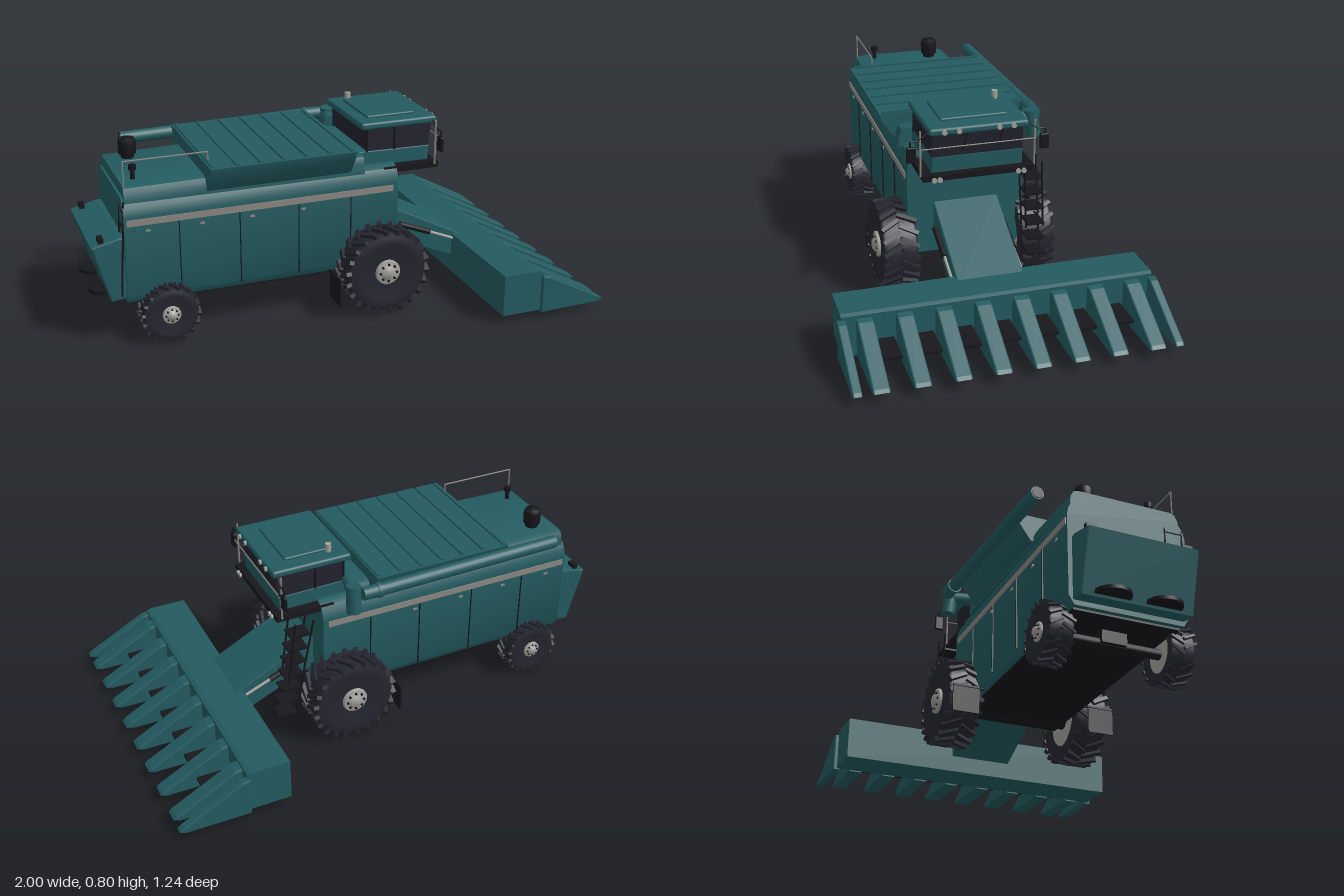
import * as THREE from 'three';
import { mergeGeometries, toCreasedNormals } from 'three/addons/utils/BufferGeometryUtils.js';
import { RoundedBoxGeometry } from 'three/addons/geometries/RoundedBoxGeometry.js';

const mat = (name, color) => Object.assign(new THREE.MeshStandardMaterial({ color }), { name });

export function createModel() {
  const teal = mat('teal paint', 0x235b60);
  const rubber = mat('tyre rubber', 0x252530);
  const black = mat('black trim', 0x17171c);
  const glass = mat('dark glass', 0x22232f);
  const grey = mat('stripe grey', 0x8b8782);
  const metal = mat('metal', 0xa3a19c);
  const root = new THREE.Group();
  root.name = 'harvester';

  // ---- helpers ----
  const add = (name, geo, m, parent = root) => {
    const mesh = new THREE.Mesh(geo, m);
    mesh.name = name;
    parent.add(mesh);
    return mesh;
  };
  // box from min and max corners, optionally rounded
  const box = (name, m, x0, x1, y0, y1, z0, z1, r = 0) => {
    const s = [x1 - x0, y1 - y0, z1 - z0];
    const g = r ? new RoundedBoxGeometry(...s, 2, r) : new THREE.BoxGeometry(...s);
    return add(name, g.translate((x0 + x1) / 2, (y0 + y1) / 2, (z0 + z1) / 2), m);
  };
  const rod = (name, m, a, b, r, sides = 8, r2 = r) => {
    const A = new THREE.Vector3(...a), B = new THREE.Vector3(...b), d = B.clone().sub(A);
    const mesh = add(name, new THREE.CylinderGeometry(r2, r, d.length(), sides), m);
    mesh.position.copy(A).add(B).multiplyScalar(0.5);
    mesh.quaternion.setFromUnitVectors(new THREE.Vector3(0, 1, 0), d.normalize());
    return mesh;
  };
  const path = (name, m, pts, r) => {
    for (let i = 1; i < pts.length; i++) rod(name, m, pts[i - 1], pts[i], r, 6);
  };
  const shapeOf = (pts) => new THREE.Shape(pts.map((p) => new THREE.Vector2(...p)));
  // side profile (x, y) extruded across z
  const acrossZ = (name, m, pts, z0, z1, bevel = 0) => {
    const g = new THREE.ExtrudeGeometry(shapeOf(pts), {
      depth: z1 - z0 - 2 * bevel, bevelEnabled: bevel > 0, bevelSize: bevel,
      bevelThickness: bevel, bevelOffset: -bevel, bevelSegments: 2,
    });
    return add(name, g.translate(0, 0, z0 + bevel), m);
  };
  // symmetric half section (z, y), bottom to top, extruded along x
  const alongX = (name, m, half, x0, x1) => {
    const pts = [...half, ...half.map(([z, y]) => [-z, y]).reverse()];
    const g = new THREE.ExtrudeGeometry(shapeOf(pts), { depth: x1 - x0, bevelEnabled: false });
    return add(name, toCreasedNormals(g.rotateY(Math.PI / 2).translate(x0, 0, 0), 0.6), m);
  };

  // ---- main body ----
  alongX('body', teal, [[0.215, 0.165], [0.236, 0.2], [0.238, 0.52], [0.232, 0.55], [0.218, 0.575], [0.19, 0.588]], -0.87, 0.245);
  box('underside', black, -0.85, 0.22, 0.157, 0.166, -0.21, 0.21);
  const deck = alongX('engineDeck', teal, [[0.235, 0.57], [0.232, 0.615], [0.22, 0.638], [0.2, 0.645]], -0.86, 0.1);
  const dp = deck.geometry.attributes.position;
  for (let i = 0; i < dp.count; i++) if (dp.getX(i) < -0.5) {
    dp.setZ(i, dp.getZ(i) * 0.94);
    if (dp.getY(i) > 0.6) dp.setY(i, dp.getY(i) - 0.012);
  }
  deck.geometry = toCreasedNormals(deck.geometry, 0.6);
  for (const s of [-1, 1]) {
    const plate = (name, m, x0, x1, y0, y1) => box(name, m, x0, x1, y0, y1, s * 0.239 - 0.003, s * 0.239 + 0.003);
    plate('sideStripe', grey, -0.86, 0.222, 0.485, 0.51);
    for (const x of [-0.78, -0.57, -0.37, -0.16]) plate('panelHandle', grey, x - 0.009, x + 0.009, 0.457, 0.465);
    for (const x of [-0.66, -0.42, -0.18, 0.04]) {
      plate('panelSeam', black, x - 0.0015, x + 0.0015, 0.19, 0.484);
    }
  }

  // ---- rear hood, spreaders and rear ladder ----
  acrossZ('rearHood', teal, [[-0.995, 0.41], [-0.93, 0.178], [-0.86, 0.185], [-0.86, 0.436], [-0.89, 0.436]], -0.22, 0.22, 0.006);
  for (const s of [-1, 1]) {
    rod('chaffSpreader', black, [-0.93, 0.188, s * 0.1], [-0.93, 0.202, s * 0.1], 0.07, 24);
    box('rearLamp', black, -0.965, -0.945, 0.42, 0.44, s * 0.19 - 0.02, s * 0.19 + 0.02);
    rod('rearLadderRail', black, [-0.89, 0.2, 0.19 + s * 0.035], [-0.865, 0.58, 0.19 + s * 0.035], 0.004, 6);
  }
  for (let i = 0; i < 6; i++) {
    const x = -0.888 + i * 0.004, y = 0.24 + i * 0.06;
    rod('rearLadderRung', black, [x, y, 0.155], [x, y, 0.225], 0.004, 6);
  }
  path('rearHandrail', grey, [[-0.855, 0.62, 0.2], [-0.855, 0.73, 0.2], [-0.53, 0.73, 0.2], [-0.53, 0.69, 0.2]], 0.003);

  // ---- engine air intake and exhaust ----
  add('airIntake', new THREE.LatheGeometry([[0.026, 0.62], [0.026, 0.65], [0.035, 0.652], [0.036, 0.7], [0.03, 0.714], [0, 0.717]]
    .map((p) => new THREE.Vector2(...p)), 24).translate(-0.77, 0, -0.12), black);
  rod('exhaust', black, [-0.805, 0.62, 0.13], [-0.805, 0.67, 0.13], 0.009, 12);
  rod('exhaustTip', black, [-0.805, 0.67, 0.13], [-0.805, 0.69, 0.13], 0.015, 12);

  // ---- grain tank with ribbed cover ----
  alongX('grainTank', teal, [[0.235, 0.585], [0.288, 0.66], [0.297, 0.69]], -0.545, 0.04);
  for (let i = 0; i < 7; i++) {
    const x = -0.53 + i * 0.093;
    box('tankRib', teal, x - 0.007, x + 0.007, 0.688, 0.697, -0.285, 0.285);
  }

  // ---- unloading auger ----
  rod('augerTube', teal, [-0.76, 0.655, -0.302], [0.12, 0.662, -0.328], 0.026, 20);
  rod('augerMouth', black, [-0.764, 0.655, -0.302], [-0.759, 0.655, -0.302], 0.022, 20);
  rod('augerCollar', teal, [0.04, 0.661, -0.325], [0.06, 0.661, -0.326], 0.03, 20);
  rod('augerElbow', teal, [0.145, 0.69, -0.3], [0.15, 0.58, -0.314], 0.029, 20);
  rod('augerFeed', teal, [0.12, 0.655, -0.2], [0.145, 0.655, -0.31], 0.026, 20);

  // ---- cab ----
  acrossZ('cabBase', teal, [[0.1, 0.58], [0.4, 0.575], [0.405, 0.64], [0.1, 0.645]], -0.18, 0.18, 0.005);
  acrossZ('cabGlass', glass, [[0.13, 0.638], [0.4, 0.638], [0.412, 0.738], [0.125, 0.738]], -0.178, 0.178);
  for (const s of [-1, 1]) {
    for (const x of [0.13, 0.25]) rod('cabPillar', black, [x, 0.64, s * 0.179], [x, 0.738, s * 0.179], 0.005, 6);
    rod('wiper', black, [0.405, 0.66, s * 0.07 - 0.01], [0.414, 0.73, s * 0.07 - 0.025], 0.003, 6);
  }
  box('cabRoof', teal, 0.102, 0.43, 0.735, 0.764, -0.195, 0.195, 0.01);
  box('roofHatch', teal, 0.15, 0.355, 0.76, 0.774, -0.132, 0.132, 0.006);
  rod('beacon', metal, [0.175, 0.76, -0.137], [0.175, 0.798, -0.137], 0.012, 12);
  for (const z of [-0.133, -0.077, 0.08, 0.137]) {
    rod('roofLamp', metal, [0.425, 0.749, z], [0.437, 0.749, z], 0.01, 12);
  }
  box('cabPlatform', black, 0.19, 0.43, 0.555, 0.578, -0.22, 0.22);
  for (const s of [-1, 1]) {
    for (const d of [0.155, 0.177]) rod('headLamp', metal, [0.425, 0.56, s * d], [0.438, 0.56, s * d], 0.01, 12);
    path('cabHandrail', grey, [[0.41, 0.57, s * 0.225], [0.41, 0.755, s * 0.225]], 0.004);
    path('mirrorArm', black, [[0.41, 0.75, s * 0.19], [0.415, 0.72, s * 0.235], [0.415, 0.72, s * 0.265], [0.415, 0.69, s * 0.265]], 0.003);
    box('mirror', black, 0.408, 0.422, 0.636, 0.697, s * 0.262 - 0.018, s * 0.262 + 0.018, 0.004);
  }
  path('frontRail', grey, [[0.425, 0.686, -0.225], [0.425, 0.686, 0.225]], 0.0025);

  // ---- boarding ladder ----
  for (const z of [-0.2, -0.27]) {
    path('ladderRail', black, [[0.3, 0.56, z], [0.345, 0.34, z], [0.38, 0.135, z]], 0.004);
    path('ladderRail', black, [[0.375, 0.56, z], [0.41, 0.3, z]], 0.004);
  }
  for (let i = 0; i < 7; i++) {
    const y = 0.5 - i * 0.06, x = 0.315 + i * 0.0105;
    box('ladderStep', black, x, x + 0.08, y - 0.004, y + 0.004, -0.27, -0.2);
  }

  // ---- feeder house ----
  acrossZ('feederHouse', teal, [[0.2, 0.395], [0.245, 0.38], [0.6, 0.198], [0.6, 0.08], [0.56, 0.1], [0.2, 0.26]], -0.132, 0.132, 0.005);
  for (const s of [-1, 1]) {
    rod('liftCylinder', black, [0.3, 0.29, s * 0.14], [0.44, 0.235, s * 0.14], 0.012, 12);
    rod('liftRod', metal, [0.44, 0.235, s * 0.14], [0.55, 0.19, s * 0.14], 0.006, 10);
  }

  // ---- corn header ----
  acrossZ('headerFrame', teal, [[0.55, 0.035], [0.72, 0.035], [0.72, 0.2], [0.705, 0.207], [0.55, 0.207]], -0.603, 0.603);
  const snout = [[0.715, 0.03], [0.975, 0.034], [0.997, 0.045], [0.985, 0.056], [0.745, 0.183], [0.715, 0.188]];
  for (const s of [-1, 1]) {
    for (let i = 0; i < 4; i++) {
      const z = s * (0.074 + i * 0.148);
      acrossZ('rowDivider', teal, snout, z - 0.031, z + 0.031, 0.006);
    }
    acrossZ('endDivider', teal, snout, s * 0.603 - 0.017, s * 0.603 + 0.017, 0.005);
  }
  for (let i = -3; i <= 3; i++) box('pickingDeck', black, 0.715, 0.855, 0.08, 0.092, i * 0.148 - 0.034, i * 0.148 + 0.034);

  // ---- wheels: lathed tyre, chevron lugs, inner rim and outer hub ----
  const wheel = (name, x, s, z, r, w, lugs, hubR) => {
    const g = new THREE.Group();
    g.name = name;
    const R = r - r * 0.08, h = w / 2;
    const lathe = (pts) => new THREE.LatheGeometry(pts.map((p) => new THREE.Vector2(...p)), 40).rotateX(Math.PI / 2);
    add('tyre', lathe([[0, -h * 0.75], [r * 0.6, -h * 0.75], [r * 0.66, -h * 0.97], [R * 0.94, -h * 0.95], [R, -h * 0.8],
      [R, h * 0.8], [R * 0.94, h * 0.95], [r * 0.66, h * 0.97], [r * 0.56, h * 0.85], [0, h * 0.8]]), rubber, g);
    const parts = [];
    for (let i = 0; i < lugs; i++) for (const k of [-1, 1]) {
      parts.push(new THREE.BoxGeometry(r * 0.09, r * 0.12, h * 1.12).rotateY(k * 0.5)
        .translate(0, r * 0.94, k * h * 0.49).rotateZ(((i + (k > 0 ? 0.5 : 0)) / lugs) * Math.PI * 2));
    }
    add('treadLugs', mergeGeometries(parts), rubber, g);
    add('innerRim', lathe([[0, -h * 0.8], [r * 0.58, -h * 0.8], [r * 0.58, -h * 0.7]]), metal, g);
    add('hub', lathe([[hubR, h * 0.7], [hubR, h * 0.95], [hubR * 0.85, h], [hubR * 0.5, h], [hubR * 0.4, h + 0.012], [0, h + 0.012]]), metal, g);
    for (let i = 0; i < 8; i++) {
      const a = (i / 8) * Math.PI * 2;
      add('wheelBolt', new THREE.CylinderGeometry(hubR * 0.1, hubR * 0.1, 0.006, 8).rotateX(Math.PI / 2)
        .translate(Math.cos(a) * hubR * 0.68, Math.sin(a) * hubR * 0.68, h + 0.002), black, g);
    }
    g.position.set(x, r, s * z);
    if (s < 0) g.rotation.y = Math.PI;
    root.add(g);
  };
  for (const s of [-1, 1]) {
    wheel('frontWheel', 0.16, s, 0.28, 0.181, 0.145, 22, 0.052);
    wheel('rearWheel', -0.715, s, 0.238, 0.117, 0.1, 18, 0.036);
    box('mudFlap', black, -0.048, -0.042, 0.065, 0.18, s * 0.295 - 0.055, s * 0.295 + 0.055);
    rod('mudFlapArm', black, [-0.045, 0.172, s * 0.2], [-0.045, 0.172, s * 0.35], 0.004, 6);
  }
  rod('frontAxle', black, [0.16, 0.181, -0.25], [0.16, 0.181, 0.25], 0.035, 12);
  rod('rearAxle', black, [-0.715, 0.117, -0.22], [-0.715, 0.117, 0.22], 0.02, 12);
  box('rearAxleMount', black, -0.75, -0.68, 0.11, 0.17, -0.05, 0.05);
  return root;
}
